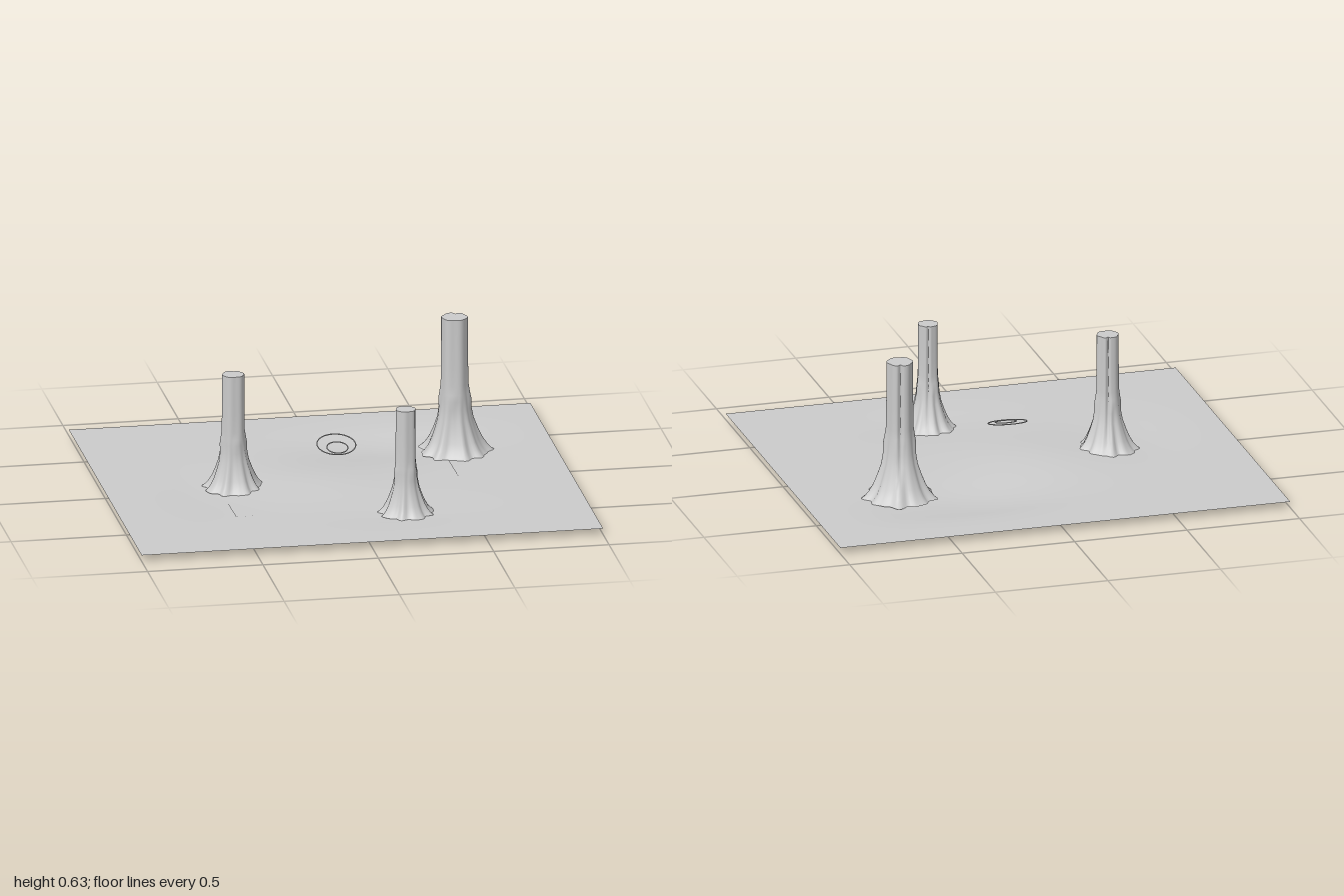
import * as THREE from 'three';

const material = new THREE.MeshStandardMaterial({ color: 0xcccccc, side: THREE.DoubleSide });

// Gentle terrain: level at the border, low and high spots inside
function groundHeight(x, z) {
  const spot = (cx, cz, rx, rz) => Math.exp(-(((x - cx) / rx) ** 2) - ((z - cz) / rz) ** 2);
  const fade = Math.min(1, (1 - Math.abs(x)) / 0.35) * Math.min(1, (0.86 - Math.abs(z)) / 0.3);
  const relief = -0.027 * spot(0.3, -0.42, 0.38, 0.22)
    + 0.015 * spot(-0.08, 0.02, 0.3, 0.25)
    - 0.010 * spot(-0.55, 0.1, 0.25, 0.3)
    - 0.009 * spot(0.2, 0.5, 0.3, 0.2);
  return 0.027 + relief * fade;
}

function terrain(name, x0, x1, z0, z1, lift) {
  const geo = new THREE.PlaneGeometry(x1 - x0, z1 - z0, 60, 52);
  geo.rotateX(-Math.PI / 2);
  geo.translate((x0 + x1) / 2, 0, (z0 + z1) / 2);
  const p = geo.attributes.position;
  for (let i = 0; i < p.count; i++) p.setY(i, groundHeight(p.getX(i), p.getZ(i)) + lift);
  geo.computeVertexNormals();
  const mesh = new THREE.Mesh(geo, material);
  mesh.name = name;
  return mesh;
}

// Trunk profile: radius against height, flaring at the roots
const profile = [[0, 0.15], [0.01, 0.138], [0.03, 0.122], [0.06, 0.106], [0.1, 0.091], [0.15, 0.075],
  [0.2, 0.066], [0.24, 0.063], [0.27, 0.06], [0.31, 0.057], [0.4, 0.056], [0.5, 0.055], [0.605, 0.055]];
const SIDES = 72;

// Fluted trunk: root ribs low down, a bark fissure up the back
function trunkGeometry(seed) {
  const pos = [], index = [];
  profile.forEach(([y, r], j) => {
    const root = Math.max(0, 1 - y / 0.28);
    const knot = Math.exp(-(((y - 0.24) / 0.04) ** 2));
    for (let i = 0; i < SIDES; i++) {
      const a = (i / SIDES) * Math.PI * 2;
      const ribs = 0.065 * Math.sin(9 * a + seed) + 0.04 * Math.sin(14 * a + 2 * seed)
        + 0.03 * Math.sin(5 * a + 1.3);
      const bark = 0.035 * Math.sin(6 * a + seed) + 0.02 * Math.sin(3 * a);
      const back = Math.atan2(Math.sin(a + Math.PI / 2 - 0.25), Math.cos(a + Math.PI / 2 - 0.25));
      const fissure = -0.28 * Math.exp(-((back / 0.13) ** 2)) * Math.min(1, y / 0.25);
      const lump = 0.1 * knot * Math.max(0, Math.sin(4 * a + seed));
      const rr = r * (1 + ribs * root + bark * (1 - root) + fissure + lump);
      // The roots sit slightly further back than the top
      pos.push(rr * Math.cos(a) + 0.006 * root, y, rr * Math.sin(a) - 0.015 * root);
      if (j < profile.length - 1) {
        const b = j * SIDES, n = (i + 1) % SIDES;
        index.push(b + i, b + SIDES + i, b + n, b + n, b + SIDES + i, b + SIDES + n);
      }
    }
  });
  const geo = new THREE.BufferGeometry();
  geo.setAttribute('position', new THREE.Float32BufferAttribute(pos, 3));
  geo.setIndex(index);
  geo.computeVertexNormals();
  return geo;
}

function tree(name, x, z, scale, base, seed) {
  const group = new THREE.Group();
  group.name = name;
  const geo = trunkGeometry(seed);
  const trunk = new THREE.Mesh(geo, material);
  trunk.name = 'trunk';

  // Cut top following the outline of the last ring
  const p = geo.attributes.position, start = p.count - SIDES;
  const outline = [];
  for (let i = 0; i < SIDES; i++) outline.push(new THREE.Vector2(p.getX(start + i), -p.getZ(start + i)));
  const cap = new THREE.Mesh(new THREE.ShapeGeometry(new THREE.Shape(outline)), material);
  cap.name = 'cutTop';
  cap.rotation.x = -Math.PI / 2;
  cap.position.y = profile[profile.length - 1][0];

  group.add(trunk, cap);
  group.scale.setScalar(scale);
  group.position.set(x, base, z);
  return group;
}

export function createModel() {
  const model = new THREE.Group();
  model.name = 'clearing';

  model.add(
    terrain('ground', -1, 1, -0.86, 0.86, 0),
    terrain('innerGround', -0.51, 0.52, -0.46, 0.42, 0.002),
    tree('largeTree', 0.567, -0.292, 1, 0.022, 0.4),
    tree('mediumTree', -0.45, 0.022, 0.845, 0.022, 1.9),
    tree('smallTree', 0.213, 0.483, 0.77, 0.022, 3.1),
  );

  // Tilted floating hoops, higher at the back
  const hoops = new THREE.Group();
  hoops.name = 'floatingHoops';
  for (const [name, radius, z] of [['outerHoop', 0.083, 0], ['innerHoop', 0.045, 0.025]]) {
    const hoop = new THREE.Mesh(new THREE.TorusGeometry(radius, 0.0025, 6, 40), material);
    hoop.name = name;
    hoop.rotation.x = -Math.PI / 2;
    hoop.position.z = z;
    hoops.add(hoop);
  }
  hoops.rotation.x = 0.24;
  hoops.position.set(0, 0.186, 0.008);
  model.add(hoops);

  return model;
}
